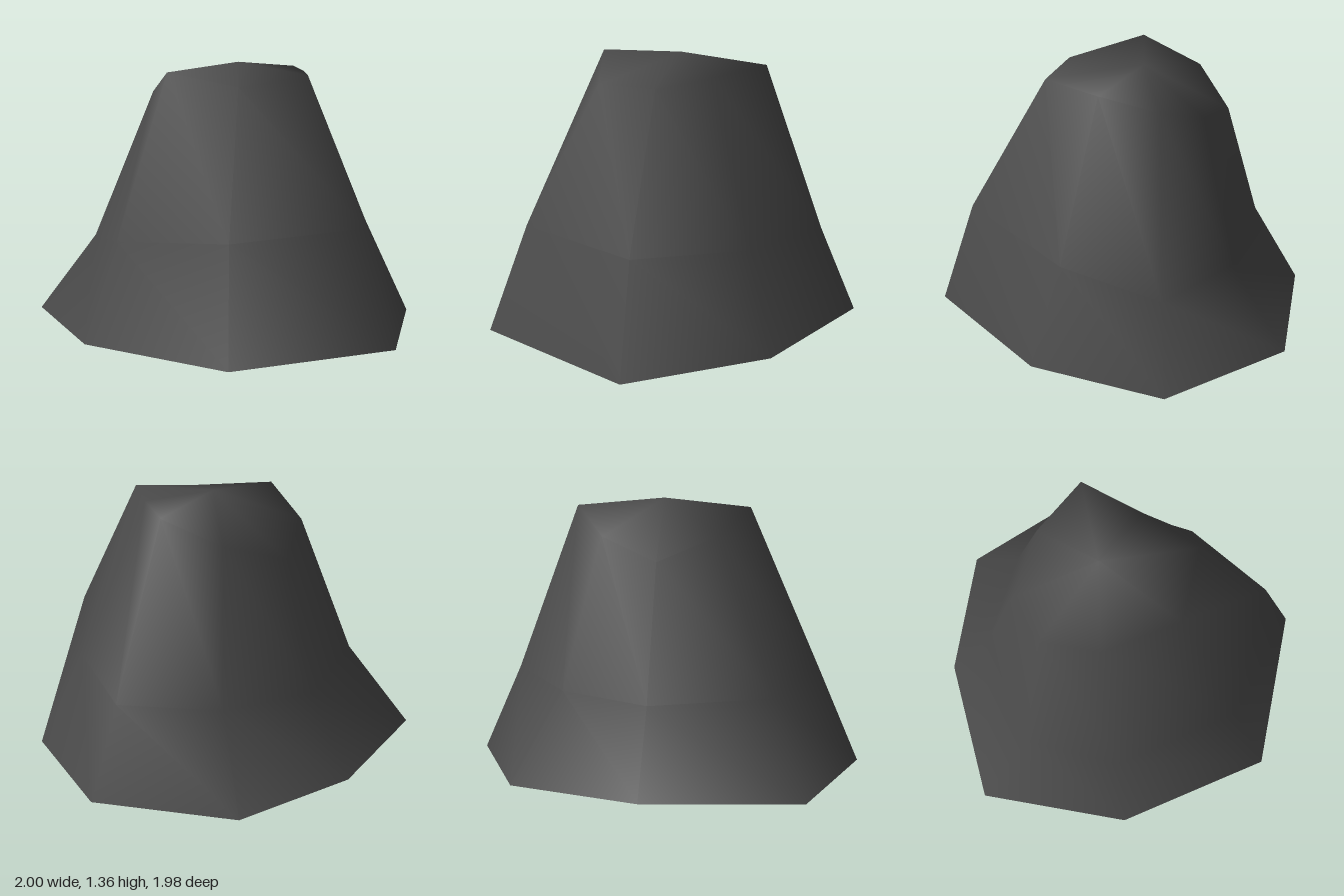
import * as THREE from 'three';

// Rings of the boulder, from the ground up; each runs from the front round by +x
const rings = [
  [[0.05, 0, 0.99], [0.69, 0, 0.53], [1, 0, -0.12], [0.69, 0, -0.79],
    [0.03, 0, -0.99], [-0.75, 0, -0.89], [-1, 0, -0.13], [-0.78, 0, 0.69]],
  [[0.04, 0.58, 0.8], [0.53, 0.5, 0.36], [0.8, 0.45, -0.12], [0.48, 0.42, -0.53],
    [0.02, 0.41, -0.75], [-0.58, 0.43, -0.6], [-0.79, 0.49, -0.13], [-0.62, 0.55, 0.52]],
  [[0.04, 1.31, 0.39], [0.26, 1.315, 0.14], [0.47, 1.32, -0.14], [0.3, 1.185, -0.39],
    [0, 1.08, -0.56], [-0.29, 1.2, -0.45], [-0.43, 1.32, -0.16], [-0.31, 1.26, 0.25]],
];
const peak = [0.02, 1.36, -0.11];

function rockGeometry() {
  const n = rings[0].length;
  const index = [];
  for (let i = 0; i < n; i++) {
    const j = (i + 1) % n;
    // Side bands
    for (let r = 0; r < rings.length - 1; r++) {
      const a = r * n + i, b = r * n + j;
      index.push(a, b, a + n, b, b + n, a + n);
    }
    // Fan to the peak
    const top = (rings.length - 1) * n;
    index.push(top + i, top + j, top + n);
  }
  const geometry = new THREE.BufferGeometry();
  geometry.setAttribute('position',
    new THREE.Float32BufferAttribute([...rings.flat(), peak].flat(), 3));
  geometry.setIndex(index);
  geometry.computeVertexNormals();
  return geometry;
}

export function createModel() {
  const group = new THREE.Group();
  group.name = 'boulder';
  // The underside is open, so the shell shows from both sides
  const stone = new THREE.MeshStandardMaterial({ color: 0x494949, side: THREE.DoubleSide });
  stone.name = 'dark grey stone';
  const rock = new THREE.Mesh(rockGeometry(), stone);
  rock.name = 'rockShell';
  group.add(rock);
  return group;
}
